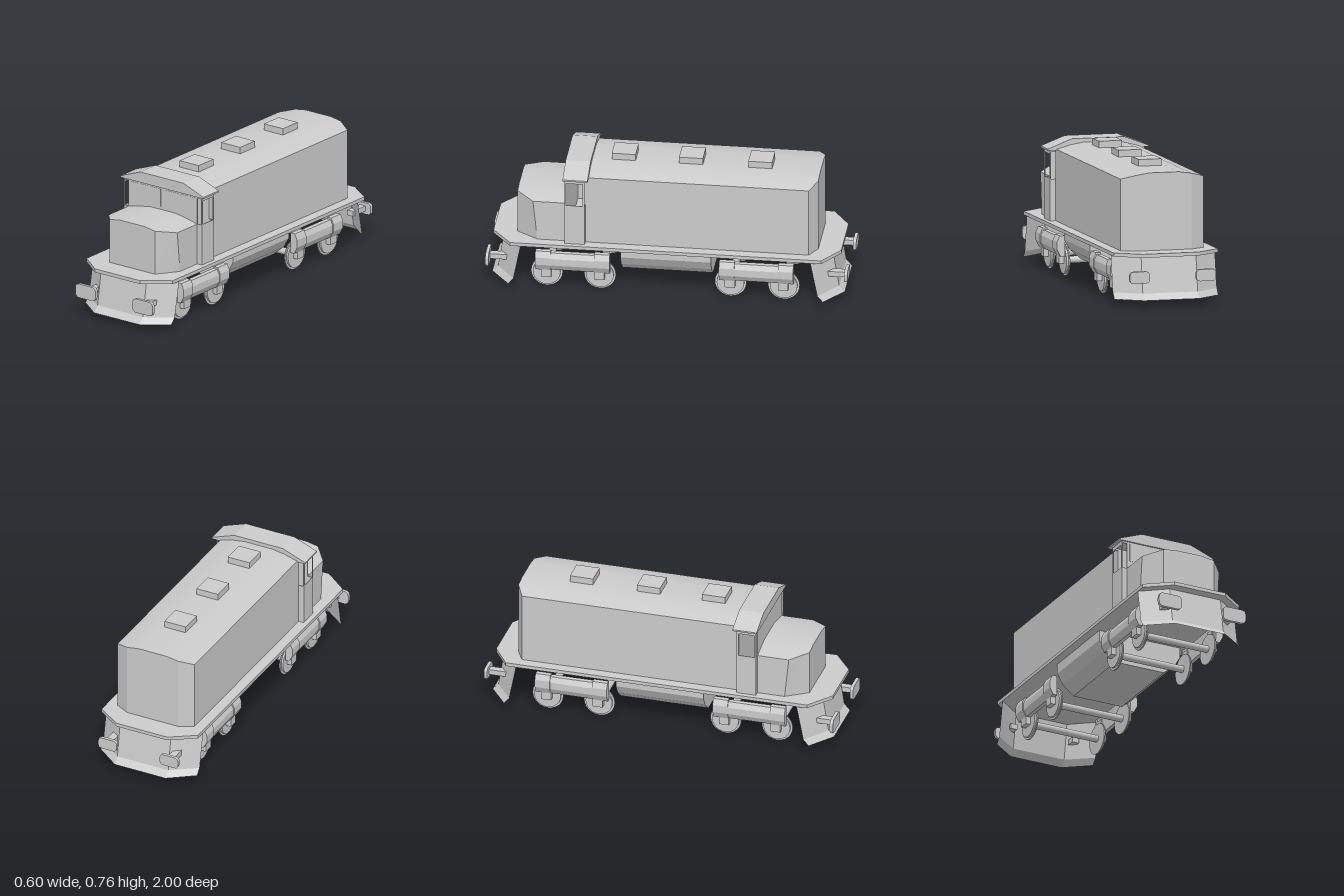
import * as THREE from 'three';
import { toCreasedNormals } from 'three/addons/utils/BufferGeometryUtils.js';

const grey = new THREE.MeshStandardMaterial({ color: 0xcccccc });
const thin = new THREE.MeshStandardMaterial({ color: 0xcccccc, side: THREE.DoubleSide });

function add(parent, name, geometry, x = 0, y = 0, z = 0, material = grey) {
  const mesh = new THREE.Mesh(geometry, material);
  mesh.name = name;
  mesh.position.set(x, y, z);
  parent.add(mesh);
  return mesh;
}

// box given by its limits
function block(parent, name, x0, x1, y0, y1, z0, z1) {
  const g = new THREE.BoxGeometry(x1 - x0, y1 - y0, z1 - z0);
  return add(parent, name, g, (x0 + x1) / 2, (y0 + y1) / 2, (z0 + z1) / 2);
}

function polygon(points) {
  return new THREE.Shape(points.map(([x, y]) => new THREE.Vector2(x, y)));
}

// half outline mirrored across x = 0
function mirrored(half) {
  return polygon([...half, ...half.map(([x, y]) => [-x, y]).reverse()]);
}

function rect(x0, x1, y0, y1) {
  return polygon([[x0, y0], [x1, y0], [x1, y1], [x0, y1]]);
}

function extrude(shape, depth) {
  return new THREE.ExtrudeGeometry(shape, { depth, bevelEnabled: false, curveSegments: 6 });
}

// hood with crowned roof and cut end corners; stations: [x, roofY, endZ, endZ at floor]
function hoodGeometry(stations, floorY, rootZ) {
  const all = [...stations.map(([x, ...r]) => [-x, ...r]), ...[...stations].reverse()];
  const g = new THREE.BoxGeometry(1, 1, 1, all.length - 1, 1, 1);
  const p = g.attributes.position;
  for (let i = 0; i < p.count; i++) {
    const [x, top, end, foot] = all[Math.round((p.getX(i) + 0.5) * (all.length - 1))];
    const up = p.getY(i) > 0;
    p.setXYZ(i, x, up ? top : floorY, p.getZ(i) > 0 ? (up ? end : foot) : rootZ);
  }
  return toCreasedNormals(g, 0.4);
}

// flared end apron folded around the deck corners
function apronGeometry() {
  const xs = [-0.298, -0.157, 0.157, 0.298];
  const rows = [[0.28, 0.8, 0.91], [0.075, 0.84, 0.943], [0.04, 0.87, 0.975]]; // y, side z, middle z
  const g = new THREE.PlaneGeometry(1, 1, 3, 2);
  const p = g.attributes.position;
  for (let i = 0; i < p.count; i++) {
    const c = i % 4;
    const [y, side, middle] = rows[Math.floor(i / 4)];
    p.setXYZ(i, xs[c], y, c === 0 || c === 3 ? side : middle);
  }
  return toCreasedNormals(g, 0.1);
}

// buffer pad: rounded plate, bulged forward in the middle
function padGeometry(w, h) {
  const r = h * 0.35, a = w / 2, b = h / 2;
  const s = new THREE.Shape();
  s.moveTo(-a + r, -b);
  s.lineTo(a - r, -b);
  s.quadraticCurveTo(a, -b, a, -b + r);
  s.lineTo(a, b - r);
  s.quadraticCurveTo(a, b, a - r, b);
  s.lineTo(-a + r, b);
  s.quadraticCurveTo(-a, b, -a, b - r);
  s.lineTo(-a, -b + r);
  s.quadraticCurveTo(-a, -b, -a + r, -b);
  return extrude(s, 0.018);
}

function buildEnd(name, padY, padW, padH, padX) {
  const end = new THREE.Group();
  end.name = name;
  add(end, 'apron', apronGeometry(), 0, 0, 0, thin);
  for (const side of [-1, 1]) {
    block(end, 'bufferShank', side * 0.19 - 0.02, side * 0.19 + 0.02, padY - 0.015, padY + 0.015, 0.87, 0.985);
    add(end, 'bufferPad', padGeometry(padW, padH), side * padX, padY, 0.982);
  }
  return end;
}

function buildTruck(name, z) {
  const truck = new THREE.Group();
  truck.name = name;
  truck.position.z = z;
  const beam = polygon([[0.222, 0.115], [0.245, 0.115], [0.265, 0.15], [0.265, 0.19], [0.25, 0.22], [0.222, 0.22]]);
  for (const wz of [-0.147, 0.147]) {
    // axle and flanged wheels
    const turn = (r, w) => new THREE.CylinderGeometry(r, r, w, 24).rotateZ(Math.PI / 2);
    add(truck, 'axle', turn(0.02, 0.42), 0, 0.088, wz);
    for (const side of [-1, 1]) {
      add(truck, 'wheelFlange', turn(0.088, 0.007), side * 0.207, 0.088, wz);
      add(truck, 'wheelTread', turn(0.076, 0.013), side * 0.215, 0.088, wz);
      // axle box under the frame end
      const a = side * 0.216, b = side * 0.25;
      block(truck, 'axleBox', Math.min(a, b), Math.max(a, b), 0.072, 0.2, wz - 0.028, wz + 0.028);
    }
  }
  for (const side of [-1, 1]) {
    const frame = new THREE.Group();
    frame.name = 'sideFrame';
    if (side < 0) frame.rotation.y = Math.PI;
    add(frame, 'frameBeam', extrude(beam, 0.36), 0, 0, -0.18);
    for (const e of [-1, 1]) {
      const cap = add(frame, 'frameEnd', extrude(beam, 0.085), 0, -0.012, e * 0.163 - 0.0425);
      cap.scale.set(1.02, 1.1, 1);
    }
    truck.add(frame);
  }
  return truck;
}

function buildCab() {
  const cab = new THREE.Group();
  cab.name = 'cab';
  // end walls with open wing windows either side of the hood
  for (const [name, z] of [['cabFrontWall', 0.556], ['cabRearWall', 0.45]]) {
    const wall = rect(-0.27, 0.27, 0.29, 0.692);
    wall.holes.push(rect(0.238, 0.265, 0.527, 0.677), rect(-0.265, -0.238, 0.527, 0.677));
    add(cab, name, extrude(wall, 0.005), 0, 0, z);
  }
  // side walls with one open window each
  const side = rect(-0.561, -0.45, 0.29, 0.692);
  side.holes.push(rect(-0.553, -0.462, 0.53, 0.665));
  for (const x of [-0.27, 0.266]) {
    add(cab, 'cabSideWall', extrude(side, 0.004).rotateY(Math.PI / 2), x, 0, 0);
  }
  for (const s of [-1, 1]) {
    block(cab, 'windscreen', s * 0.1185 - 0.1035, s * 0.1185 + 0.1035, 0.573, 0.677, 0.558, 0.5625);
  }
  // overhanging roof
  const roof = mirrored([[0.288, 0.687], [0.288, 0.696], [0.15, 0.748]]);
  add(cab, 'cabRoof', extrude(roof, 0.138), 0, 0, 0.432);
  return cab;
}

export function createModel() {
  const model = new THREE.Group();
  model.name = 'dieselLocomotive';

  // deck with cut corners
  const plan = mirrored([[0.157, 0.955], [0.298, 0.86], [0.298, -0.86], [0.157, -0.968]]);
  add(model, 'deck', extrude(plan, 0.02).rotateX(-Math.PI / 2), 0, 0.275, 0);

  // long engine hood at the rear, short nose in front
  const long = hoodGeometry([
    [0.238, 0.692, 0.785, 0.785], [0.157, 0.715, 0.828, 0.828], [0.085, 0.726, 0.828, 0.828],
  ], 0.29, -0.45);
  add(model, 'engineHood', long.rotateY(Math.PI));
  const nose = hoodGeometry([
    [0.238, 0.527, 0.74, 0.715], [0.157, 0.545, 0.835, 0.835], [0.085, 0.557, 0.835, 0.835],
  ], 0.29, 0.56);
  add(model, 'nose', nose);

  // roof vents
  for (const z of [0.26, -0.112, -0.495]) {
    block(model, 'roofVent', -0.066, 0.066, 0.715, 0.763, z - 0.066, z + 0.066);
  }

  model.add(buildCab());

  // fuel tank slung under the deck
  const tank = mirrored([[0.15, 0.105], [0.215, 0.16], [0.25, 0.218], [0.25, 0.28]]);
  add(model, 'fuelTank', extrude(tank, 0.5), 0, 0, -0.245);

  model.add(buildTruck('frontTruck', 0.519), buildTruck('rearTruck', -0.497));

  model.add(buildEnd('frontEnd', 0.157, 0.14, 0.08, 0.198));
  const rear = buildEnd('rearEnd', 0.172, 0.113, 0.066, 0.19);
  rear.rotation.y = Math.PI;
  model.add(rear);
  return model;
}
